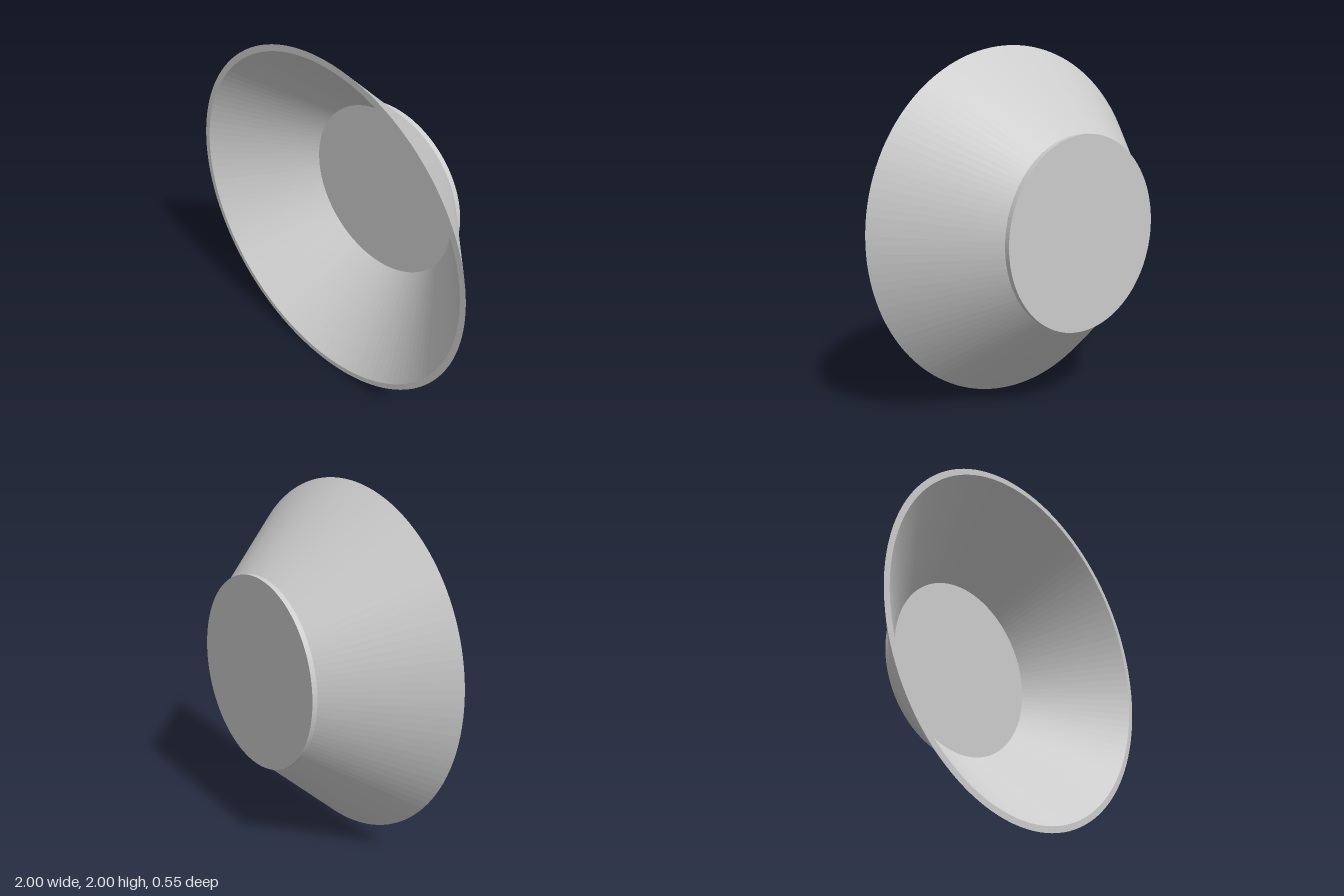
import * as THREE from 'three';

const SEGMENTS = 128;

// Revolve a [radius, z] profile around the z axis.
function turned(name, profile, material) {
  const points = profile.map(([r, z]) => new THREE.Vector2(r, z));
  const geometry = new THREE.LatheGeometry(points, SEGMENTS);
  geometry.rotateX(Math.PI / 2);
  const mesh = new THREE.Mesh(geometry, material);
  mesh.name = name;
  mesh.position.y = 1;
  return mesh;
}

export function createModel() {
  const group = new THREE.Group();
  group.name = 'flaredDish';
  const material = new THREE.MeshStandardMaterial({ color: 0xcccccc, flatShading: true });

  // Sloping wall: outer cone, flat rim, inner cone
  group.add(turned('flaredWall', [[0.532, -0.243], [1, 0.273], [0.966, 0.273], [0.52, -0.213]], material));

  // Round foot with a short straight edge
  group.add(turned('foot', [[0, -0.273], [0.532, -0.273], [0.532, -0.243]], material));

  // Flat floor inside the dish
  const floor = new THREE.Mesh(new THREE.CircleGeometry(0.52, SEGMENTS), material);
  floor.name = 'floor';
  floor.position.set(0, 1, -0.213);
  group.add(floor);

  return group;
}
